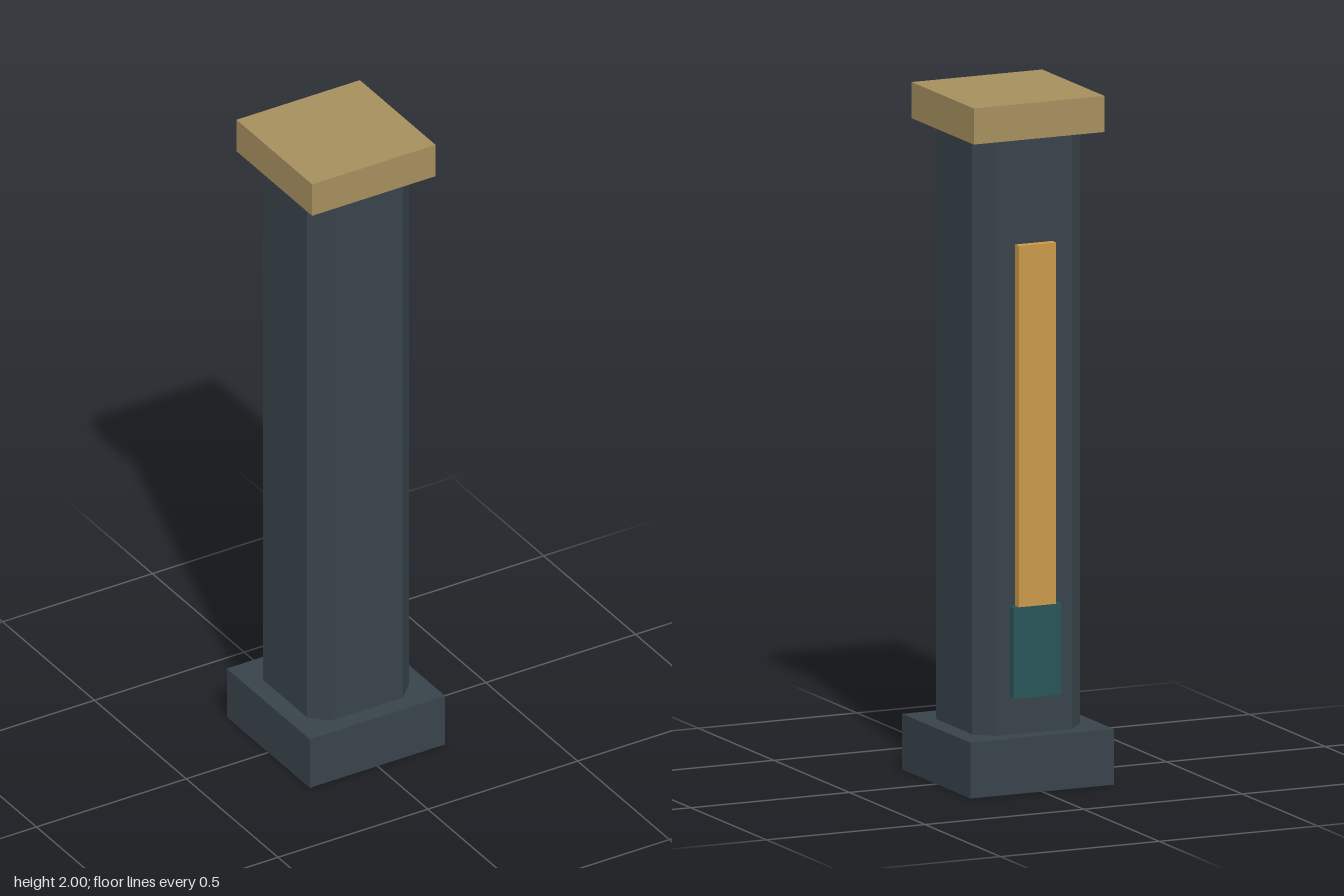
import * as THREE from 'three';

const mat = (name, color) => {
  const m = new THREE.MeshStandardMaterial({ color });
  m.name = name;
  return m;
};

export function createModel() {
  const slate = mat('slate', 0x37434a);
  const tan = mat('tan', 0xa58f5e);
  const gold = mat('gold', 0xc99a4a);
  const teal = mat('teal', 0x285558);

  const group = new THREE.Group();
  group.name = 'pillar';

  // Box spanning y0..y1, centred on x = 0
  const block = (name, material, w, y0, y1, d, z = 0) => {
    const mesh = new THREE.Mesh(new THREE.BoxGeometry(w, y1 - y0, d), material);
    mesh.position.set(0, (y0 + y1) / 2, z);
    mesh.name = name;
    group.add(mesh);
  };

  // Square plinth and overhanging cap
  block('base', slate, 0.452, 0, 0.162, 0.452);
  block('cap', tan, 0.412, 1.895, 2, 0.412);

  // Square shaft with chamfered corners
  const h = 0.17, c = 0.12;
  const outline = new THREE.Shape([
    [c, -h], [h, -c], [h, c], [c, h], [-c, h], [-h, c], [-h, -c], [-c, -h],
  ].map(([x, y]) => new THREE.Vector2(x, y)));
  const shaftGeometry = new THREE.ExtrudeGeometry(outline, { depth: 1.735, bevelEnabled: false });
  shaftGeometry.rotateX(-Math.PI / 2);
  const shaft = new THREE.Mesh(shaftGeometry, slate);
  shaft.position.y = 0.161;
  shaft.name = 'shaft';
  group.add(shaft);

  // Raised strip and its lower plate on the back
  block('backStrip', gold, 0.118, 0.53, 1.585, 0.03, -0.18);
  block('backPlate', teal, 0.15, 0.27, 0.535, 0.03, -0.1802);

  return group;
}
